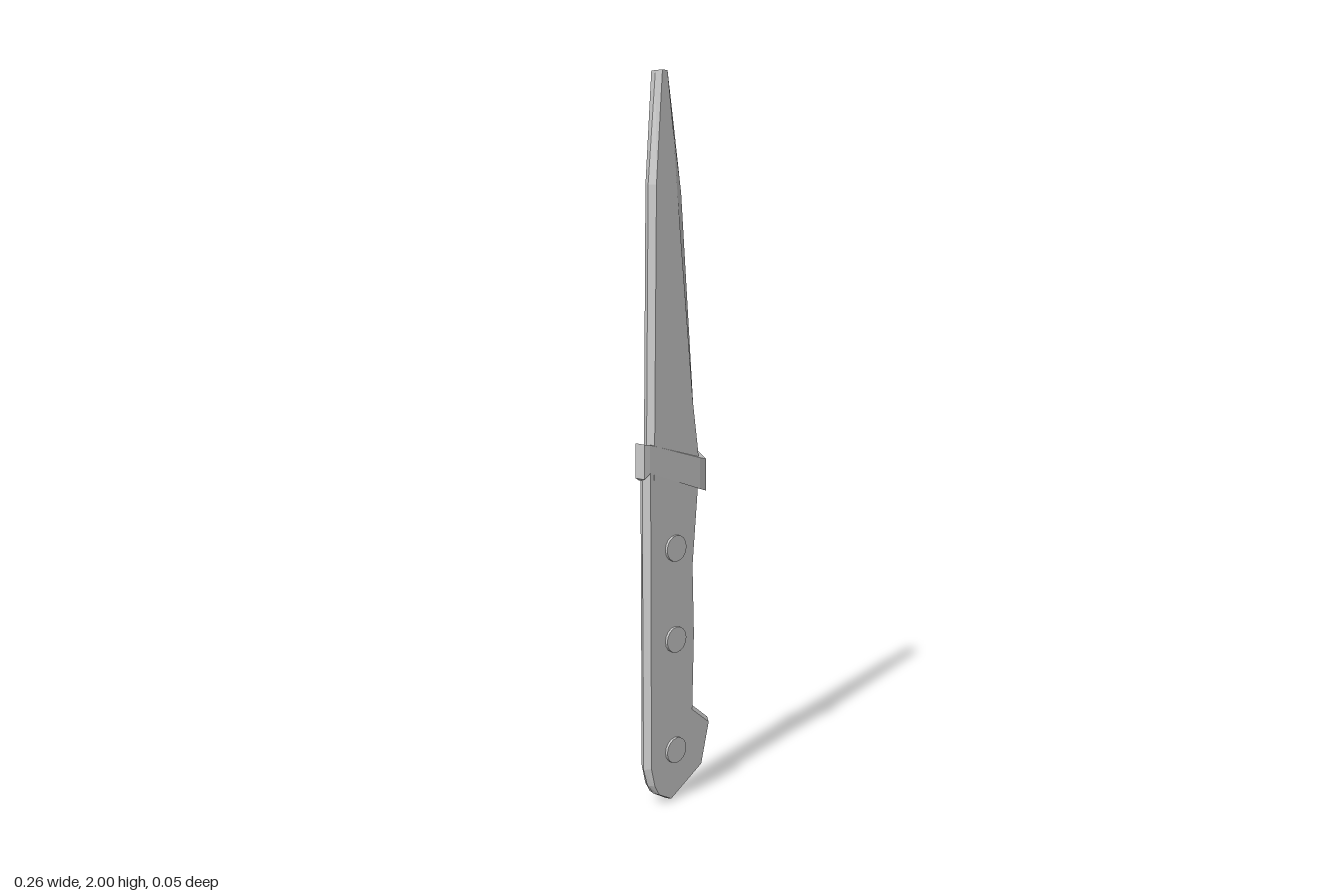
import * as THREE from 'three';

const steel = new THREE.MeshStandardMaterial({ color: 0xcccccc });
steel.name = 'grey';

// Flat-shaded mesh from a list of triangles, each three Vector3 corners.
function facetMesh(name, tris) {
  const g = new THREE.BufferGeometry().setFromPoints(tris.flat());
  g.computeVertexNormals();
  const mesh = new THREE.Mesh(g, steel);
  mesh.name = name;
  return mesh;
}

// Bevelled plate: a mid-plane outline (counter-clockwise) joined to two smaller flat faces.
// Each row is [outerX, outerY, faceX, faceY].
function bevelledPlate(name, rows, half) {
  const mid = rows.map(r => new THREE.Vector3(r[0], r[1], 0));
  const front = rows.map(r => new THREE.Vector3(r[2], r[3], half));
  const back = rows.map(r => new THREE.Vector3(r[2], r[3], -half));
  const tris = [];
  const flat = rows.map(r => new THREE.Vector2(r[2], r[3]));
  for (const [a, b, c] of THREE.ShapeUtils.triangulateShape(flat, [])) {
    tris.push([front[a], front[b], front[c]], [back[a], back[c], back[b]]);
  }
  rows.forEach((_, i) => {
    const j = (i + 1) % rows.length;
    tris.push([mid[i], mid[j], front[j]], [mid[i], front[j], front[i]]);
    tris.push([back[i], back[j], mid[j]], [back[i], mid[j], mid[i]]);
  });
  return facetMesh(name, tris);
}

// Slanted collar: rows are [x, z, bottomY, topY] around the ring.
function collar(name, rows) {
  const low = rows.map(r => new THREE.Vector3(r[0], r[2], r[1]));
  const high = rows.map(r => new THREE.Vector3(r[0], r[3], r[1]));
  const tris = [];
  const n = rows.length;
  for (let i = 0; i < n; i++) {
    const j = (i + 1) % n;
    tris.push([low[i], low[j], high[j]], [low[i], high[j], high[i]]);
  }
  // Caps are strips pairing each front corner with the back corner behind it.
  for (let i = 0; i < n / 2 - 1; i++) {
    const a = i, b = i + 1, c = n - 2 - i, d = n - 1 - i;
    tris.push([high[a], high[b], high[c]], [high[a], high[c], high[d]]);
    tris.push([low[a], low[c], low[b]], [low[a], low[d], low[c]]);
  }
  return facetMesh(name, tris);
}

export function createModel() {
  const knife = new THREE.Group();
  knife.name = 'knife';

  // Blade: narrow spine bevel on the left, cutting edge on the right
  knife.add(bevelledPlate('blade', [
    [-0.11, 0.93, -0.1, 0.93],
    [0.085, 0.93, 0.07, 0.93],
    [0.08, 0.99, 0.066, 0.99],
    [0.066, 1.13, 0.045, 1.13],
    [0.02, 1.69, -0.014, 1.69],
    [-0.013, 1.9, -0.031, 1.86],
    [-0.045, 2, -0.05, 2],
    [-0.073, 2, -0.068, 2],
    [-0.1, 1.71, -0.09, 1.71],
  ], 0.021));

  // Handle with a hooked butt
  knife.add(bevelledPlate('handle', [
    [-0.125, 0.97, -0.113, 0.97],
    [-0.125, 0.11, -0.113, 0.115],
    [-0.11, 0.06, -0.1, 0.06],
    [-0.088, 0.03, -0.083, 0.03],
    [-0.037, 0, -0.037, 0.005],
    [0.092, 0.068, 0.083, 0.075],
    [0.127, 0.2, 0.113, 0.193],
    [0.06, 0.255, 0.046, 0.248],
    [0.071, 0.47, 0.052, 0.47],
    [0.056, 0.69, 0.046, 0.67],
    [0.084, 0.93, 0.07, 0.93],
  ], 0.02));

  // Guard: slanted on the front, nearly level on the back
  knife.add(collar('guard', [
    [-0.133, 0.018, 0.935, 1.03],
    [-0.115, 0.0207, 0.95, 1.027],
    [0.07, 0.0245, 0.884, 0.972],
    [0.097, 0.021, 0.875, 0.965],
    [0.097, -0.021, 0.9, 0.99],
    [0.07, -0.0245, 0.905, 1.0],
    [-0.115, -0.024, 0.925, 1.02],
    [-0.133, -0.018, 0.935, 1.03],
  ]));

  // Rivets through the handle
  const rivetShape = new THREE.CylinderGeometry(0.037, 0.037, 0.055, 16).rotateX(Math.PI / 2);
  for (const y of [0.73, 0.47, 0.147]) {
    const rivet = new THREE.Mesh(rivetShape, steel);
    rivet.name = 'rivet';
    rivet.position.set(-0.022, y, 0);
    knife.add(rivet);
  }
  return knife;
}
